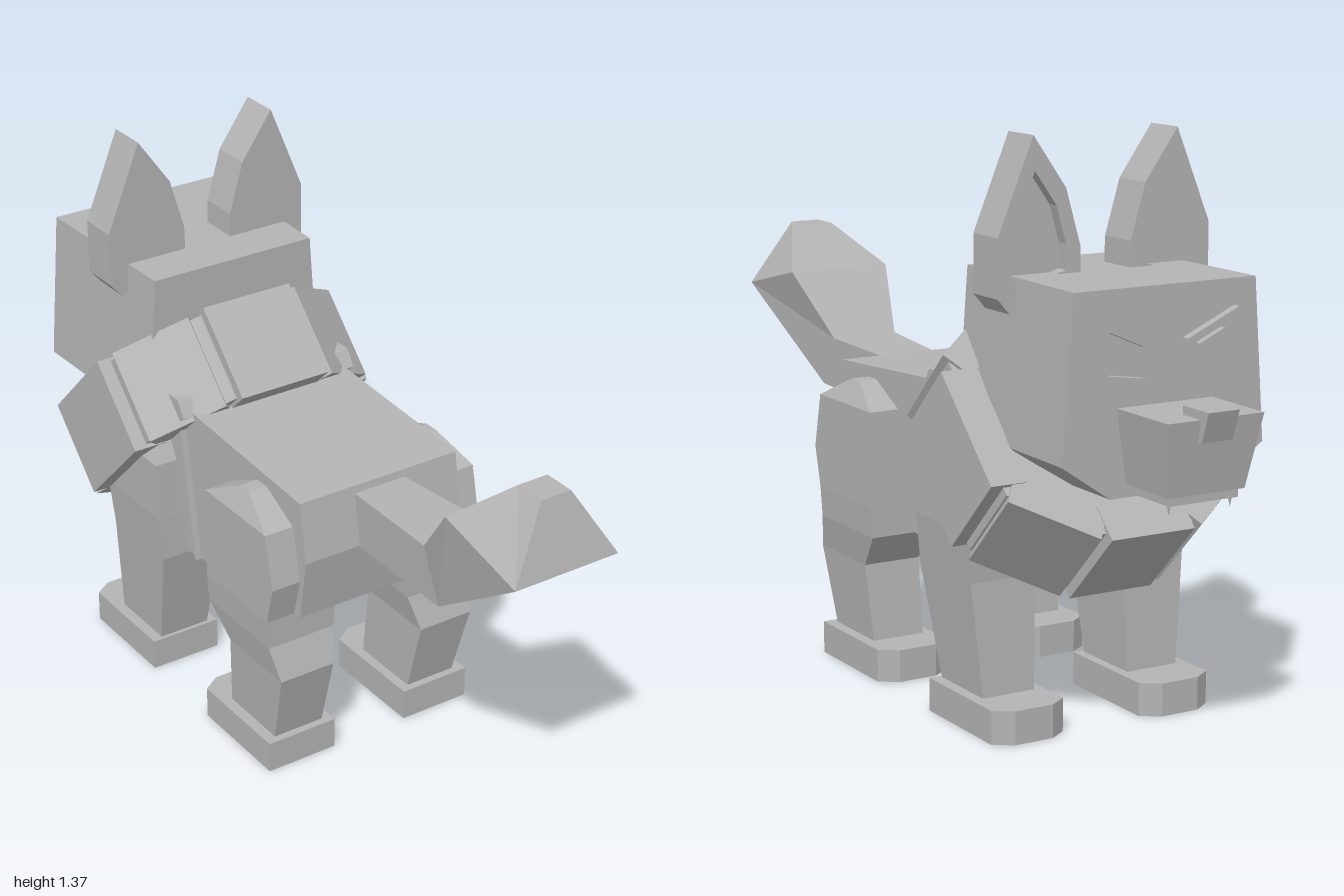
import * as THREE from 'three';

const grey = new THREE.MeshStandardMaterial({ color: 0xb4b4b4 });
grey.name = 'grey';

// Closed solid through rings of [x, y, z] points, with flat faces and fanned caps
function loft(rings) {
  const tris = [], n = rings[0].length;
  for (let r = 0; r < rings.length - 1; r++) {
    for (let i = 0; i < n; i++) {
      const j = (i + 1) % n, a = rings[r], b = rings[r + 1];
      tris.push([a[i], a[j], b[j]], [a[i], b[j], b[i]]);
    }
  }
  const last = rings[rings.length - 1];
  for (let i = 1; i < n - 1; i++) {
    tris.push([rings[0][0], rings[0][i + 1], rings[0][i]], [last[0], last[i], last[i + 1]]);
  }
  // Turn the faces outward whichever way the rings run
  let volume = 0;
  const v = tris.map(t => t.map(p => new THREE.Vector3(...p)));
  for (const [a, b, c] of v) volume += a.dot(b.clone().cross(c));
  const points = v.flatMap(([a, b, c]) => (volume < 0 ? [a, c, b] : [a, b, c]));
  const geometry = new THREE.BufferGeometry().setFromPoints(points);
  geometry.computeVertexNormals();
  return geometry;
}

// Slab with a side outline of [z, y] points between two x values
const prism = (outline, x0, x1) => loft([x0, x1].map(x => outline.map(([z, y]) => [x, y, z])));

// Extruded front outline of [x, y] points, mirrored by s, with an optional hole
function plate(outline, s, depth, hole) {
  const vec = list => list.map(([x, y]) => new THREE.Vector2(x * s, y));
  const shape = new THREE.Shape(vec(outline));
  if (hole) shape.holes.push(new THREE.Path(vec(hole)));
  return new THREE.ExtrudeGeometry(shape, { depth, bevelEnabled: false });
}

// Shrinks an outline about a centre point
const inset = (outline, cx, cy, k) => outline.map(([x, y]) => [cx + (x - cx) * k, cy + (y - cy) * k]);

function add(parent, name, geometry, x = 0, y = 0, z = 0) {
  const mesh = new THREE.Mesh(geometry, grey);
  mesh.name = name;
  mesh.position.set(x, y, z);
  parent.add(mesh);
  return mesh;
}

// Leg from sections [y, back z, front z, inner x, outer x], standing on a chamfered paw
function addLeg(parent, name, s, sections, heel) {
  const leg = new THREE.Group();
  leg.name = name;
  add(leg, 'limb', loft(sections.map(([y, b, f, i, o]) =>
    [[s * i, y, b], [s * o, y, b], [s * o, y, f], [s * i, y, f]])));
  const toe = heel - 0.315;
  const sole = [[0.105, heel], [0.295, heel], [0.295, toe + 0.03], [0.25, toe], [0.15, toe], [0.105, toe + 0.03]];
  add(leg, 'paw', loft([0, 0.08].map(y => sole.map(([x, z]) => [s * x, y, z]))));
  parent.add(leg);
}

export function createModel() {
  const model = new THREE.Group();
  model.name = 'wolf';

  // Torso
  add(model, 'torso', prism([[0.31, 0.74], [-0.2, 0.77], [-0.42, 0.62], [-0.36, 0.42], [-0.2, 0.36],
    [-0.12, 0.37], [0.02, 0.39], [0.31, 0.43], [0.335, 0.59]], -0.223, 0.223));

  // Tail: each section has an upper [z, y], a lower [z, y] and half widths
  const tail = [
    [0.29, 0.72, 0.33, 0.585, 0.07, 0.07], [0.61, 0.735, 0.67, 0.605, 0.09, 0.09],
    [0.75, 0.895, 1.0, 0.835, 0.14, 0.14], [0.87, 1.0, 0.95, 1.0, 0.04, 0.04]];
  add(model, 'tail', loft(tail.map(([z0, y0, z1, y1, w0, w1]) =>
    [[-w0, y0, z0], [w0, y0, z0], [w1, y1, z1], [-w1, y1, z1]])));

  // Legs
  const hind = [[0.06, 0.26, 0.07, 0.13, 0.265], [0.27, 0.315, 0.09, 0.13, 0.28], [0.355, 0.285, 0.02, 0.11, 0.295],
    [0.43, 0.285, 0.02, 0.105, 0.3], [0.53, 0.31, 0.02, 0.15, 0.3], [0.665, 0.28, 0.02, 0.15, 0.3],
    [0.72, 0.17, 0.13, 0.15, 0.27]];
  const fore = [[0.06, -0.27, -0.455, 0.13, 0.265], [0.35, -0.205, -0.44, 0.12, 0.29],
    [0.47, -0.205, -0.45, 0.11, 0.3], [0.62, -0.21, -0.36, 0.13, 0.3], [0.69, -0.25, -0.3, 0.15, 0.26]];
  for (const s of [1, -1]) {
    const side = s > 0 ? 'left' : 'right';
    addLeg(model, side + 'HindLeg', s, hind, 0.285);
    addLeg(model, side + 'ForeLeg', s, fore, -0.255);
    // Fur tufts behind the mane
    add(model, side + 'UpperTuft', prism([[-0.155, 0.76], [-0.18, 0.8], [-0.26, 0.8], [-0.25, 0.69]], s * 0.19, s * 0.25));
    add(model, side + 'LowerTuft', prism([[-0.19, 0.72], [-0.28, 0.62], [-0.13, 0.37]], s * 0.2, s * 0.24));
  }

  // Mane: tilted ring of raised panels around a solid neck
  const mane = new THREE.Group();
  mane.name = 'mane';
  mane.position.set(0, 0.654, -0.415);
  mane.rotation.x = Math.PI / 4;
  model.add(mane);
  const ring = [[0.13, 0.32], [0.31, 0.17], [0.31, -0.19], [0.12, -0.32]];
  const outline = [...ring, ...ring.map(([x, y]) => [-x, y]).reverse()];
  add(mane, 'neck', plate(outline, 1, 0.225), 0, 0, -0.1125);
  add(mane, 'topPanel', new THREE.BoxGeometry(0.25, 0.09, 0.245), 0, 0.3, 0);
  add(mane, 'chestPanel', new THREE.BoxGeometry(0.22, 0.09, 0.245), 0, -0.3, 0);
  for (const s of [1, -1]) {
    add(mane, 'sidePanel', new THREE.BoxGeometry(0.09, 0.31, 0.245), s * 0.3, -0.015, 0);
    for (const [a, b] of [[[0.155, 0.31], [0.32, 0.185]], [[0.32, -0.21], [0.135, -0.335]]]) {
      const dx = b[0] - a[0], dy = b[1] - a[1], len = Math.hypot(dx, dy);
      const mesh = add(mane, 'slantPanel', new THREE.BoxGeometry(len, 0.08, 0.24),
        s * ((a[0] + b[0]) / 2 + dy / len * 0.04 * Math.sign(dx * -dy)),
        (a[1] + b[1]) / 2 - Math.sign(a[1]) * 0.032, 0);
      mesh.position.x = s * ((a[0] + b[0]) / 2 - 0.024);
      mesh.rotation.z = s * Math.atan2(dy, dx);
    }
  }

  // Head: six-sided face, a little narrower at the back
  const head = new THREE.Group();
  head.name = 'head';
  model.add(head);
  const face = [[0.237, 1.06], [0.265, 0.685], [0.14, 0.6], [-0.14, 0.6], [-0.265, 0.685], [-0.237, 1.06]];
  add(head, 'skull', loft([[-0.78, 1], [-0.315, 0.95]].map(([z, k]) => face.map(([x, y]) => [x * k, y, z]))));

  // Muzzle, jaw and nose
  add(head, 'muzzle', loft([[0.63, 0.1, -0.94], [0.8, 0.125, -0.972]].map(([y, w, z]) =>
    [[-w, y, -0.76], [w, y, -0.76], [w, y, z], [-w, y, z]])));
  add(head, 'jaw', new THREE.BoxGeometry(0.18, 0.025, 0.16), 0, 0.622, -0.85);
  add(head, 'nose', prism([[-0.905, 0.82], [-1, 0.82], [-0.975, 0.75], [-0.905, 0.75]], -0.04, 0.04));

  const ear = [[0.19, 1.37], [0.105, 1.25], [0.067, 1.12], [0.065, 1.03], [0.25, 0.98], [0.28, 1.015], [0.28, 1.15]];
  const earHole = inset(ear, 0.178, 1.14, 0.66);
  const eye = [[0.18, 1.0], [0.045, 0.94], [0.045, 0.84], [0.18, 0.86]];
  const eyeHole = inset(eye, 0.112, 0.91, 0.68);
  for (const s of [1, -1]) {
    // Ears with a recessed front
    add(head, 'earBack', plate(ear, s, 0.075), 0, 0, -0.51);
    add(head, 'earRim', plate(ear, s, 0.03, earHole), 0, 0, -0.54);
    // Eyes with a raised frame
    add(head, 'eyeFrame', plate(eye, s, 0.02, eyeHole), 0, 0, -0.8);
    add(head, 'eye', plate(inset(eye, 0.112, 0.91, 0.5), s, 0.015), 0, 0, -0.795);
    // Fangs
    for (const [z, h] of [[-0.915, 0.05], [-0.88, 0.03]]) {
      const fang = add(head, 'fang', new THREE.ConeGeometry(0.012, h, 4).toNonIndexed(), s * 0.08, 0.635 - h / 2, z);
      fang.rotation.x = Math.PI;
      fang.geometry.computeVertexNormals();
    }
  }
  return model;
}
